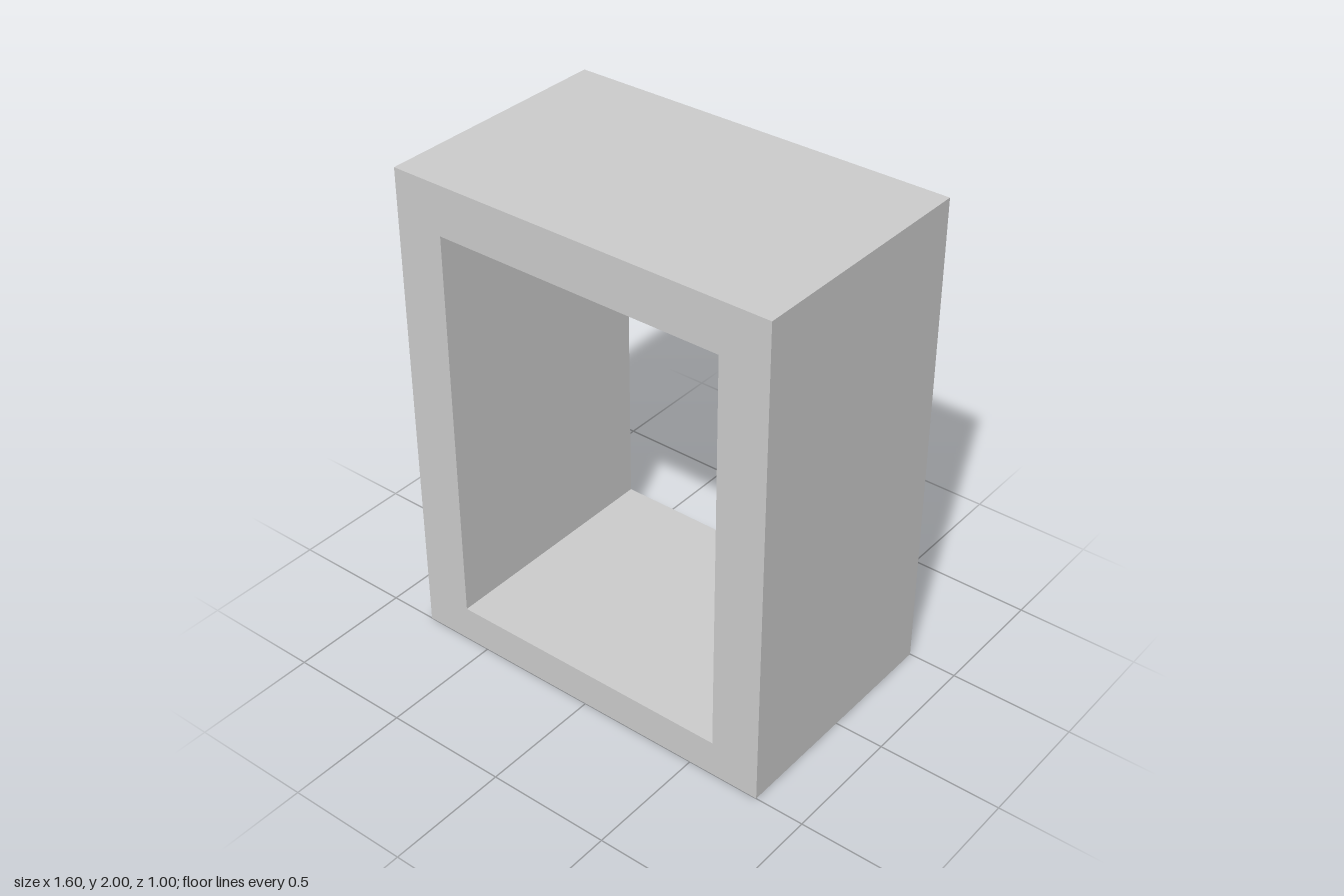
import * as THREE from 'three';

const WIDTH = 1.6, HEIGHT = 2, DEPTH = 1;

// Closed rectangular outline from its left, bottom, right and top edges
function rectangle(PathType, left, bottom, right, top) {
  return new PathType([
    new THREE.Vector2(left, bottom),
    new THREE.Vector2(right, bottom),
    new THREE.Vector2(right, top),
    new THREE.Vector2(left, top),
  ]);
}

export function createModel() {
  const group = new THREE.Group();
  group.name = 'openFrame';

  // Deep frame with a rectangular opening right through it
  const outline = rectangle(THREE.Shape, -WIDTH / 2, 0, WIDTH / 2, HEIGHT);
  outline.holes.push(rectangle(THREE.Path, -0.6, 0.15, 0.6, 1.8));

  const geometry = new THREE.ExtrudeGeometry(outline, { depth: DEPTH, bevelEnabled: false });
  geometry.translate(0, 0, -DEPTH / 2);

  const frame = new THREE.Mesh(
    geometry,
    new THREE.MeshStandardMaterial({ color: 0xcccccc, flatShading: true })
  );
  frame.name = 'frame';
  group.add(frame);
  return group;
}
